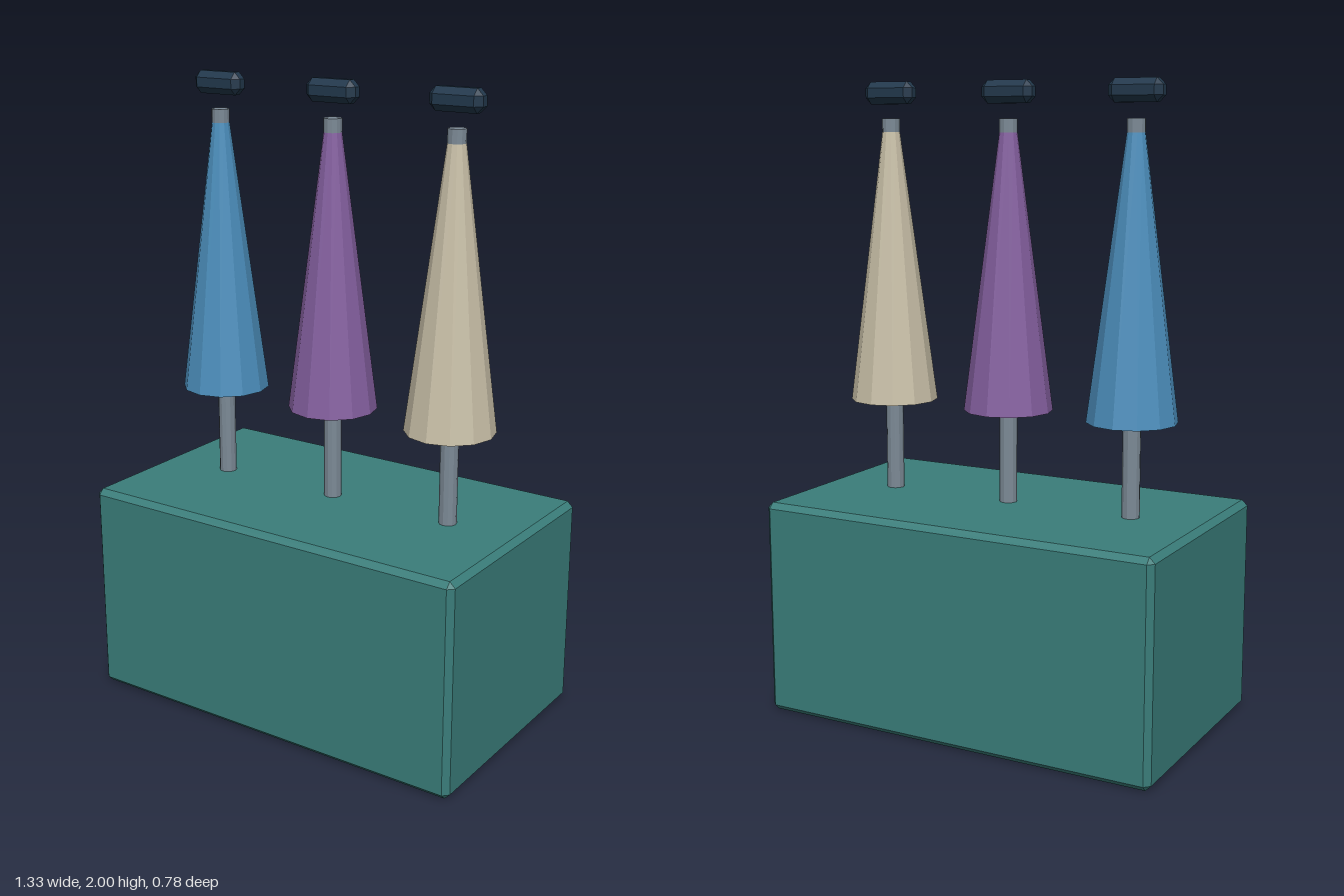
import * as THREE from 'three';
import { ConvexGeometry } from 'three/addons/geometries/ConvexGeometry.js';

const paint = (name, color) => {
  const m = new THREE.MeshStandardMaterial({ color });
  m.name = name;
  return m;
};

// Box with flat chamfered edges, centred on the origin
function chamferBox(w, h, d, c) {
  const points = [];
  for (const sx of [-1, 1]) for (const sy of [-1, 1]) for (const sz of [-1, 1]) {
    const x = w / 2, y = h / 2, z = d / 2;
    points.push(
      new THREE.Vector3(sx * x, sy * (y - c), sz * (z - c)),
      new THREE.Vector3(sx * (x - c), sy * y, sz * (z - c)),
      new THREE.Vector3(sx * (x - c), sy * (y - c), sz * z));
  }
  return new ConvexGeometry(points);
}

// Cylinder or cone with flat sides between two heights
function tapered(rTop, rBottom, y0, y1, sides) {
  const g = new THREE.CylinderGeometry(rTop, rBottom, y1 - y0, sides).toNonIndexed();
  g.computeVertexNormals();
  return g.translate(0, (y0 + y1) / 2, 0);
}

export function createModel() {
  const model = new THREE.Group();
  model.name = 'umbrellaStand';
  const teal = paint('teal', 0x3a7d7a);
  const steel = paint('steel grey', 0x7c8a96);
  const navy = paint('dark navy', 0x22384c);
  const canopies = [
    paint('blue', 0x4c8fbd), paint('purple', 0x8560a0), paint('cream', 0xc9c0a8),
  ];

  const add = (parent, name, geometry, material) => {
    const mesh = new THREE.Mesh(geometry, material);
    mesh.name = name;
    parent.add(mesh);
    return mesh;
  };

  // Stand block
  add(model, 'standBlock', chamferBox(1.33, 0.69, 0.78, 0.018), teal).position.y = 0.345;

  // Three furled umbrellas in a row
  const pole = tapered(0.028, 0.028, 0.6, 1.885, 12);
  const canopy = tapered(0.028, 0.14, 0.985, 1.843, 12);
  const handle = chamferBox(0.174, 0.07, 0.062, 0.02).translate(0, 1.965, 0);
  canopies.forEach((material, i) => {
    const umbrella = new THREE.Group();
    umbrella.name = 'umbrella' + (i + 1);
    umbrella.position.x = (i - 1) * 0.424;
    add(umbrella, 'pole', pole, steel);
    add(umbrella, 'canopy', canopy, material);
    add(umbrella, 'handle', handle, navy);
    model.add(umbrella);
  });
  return model;
}
